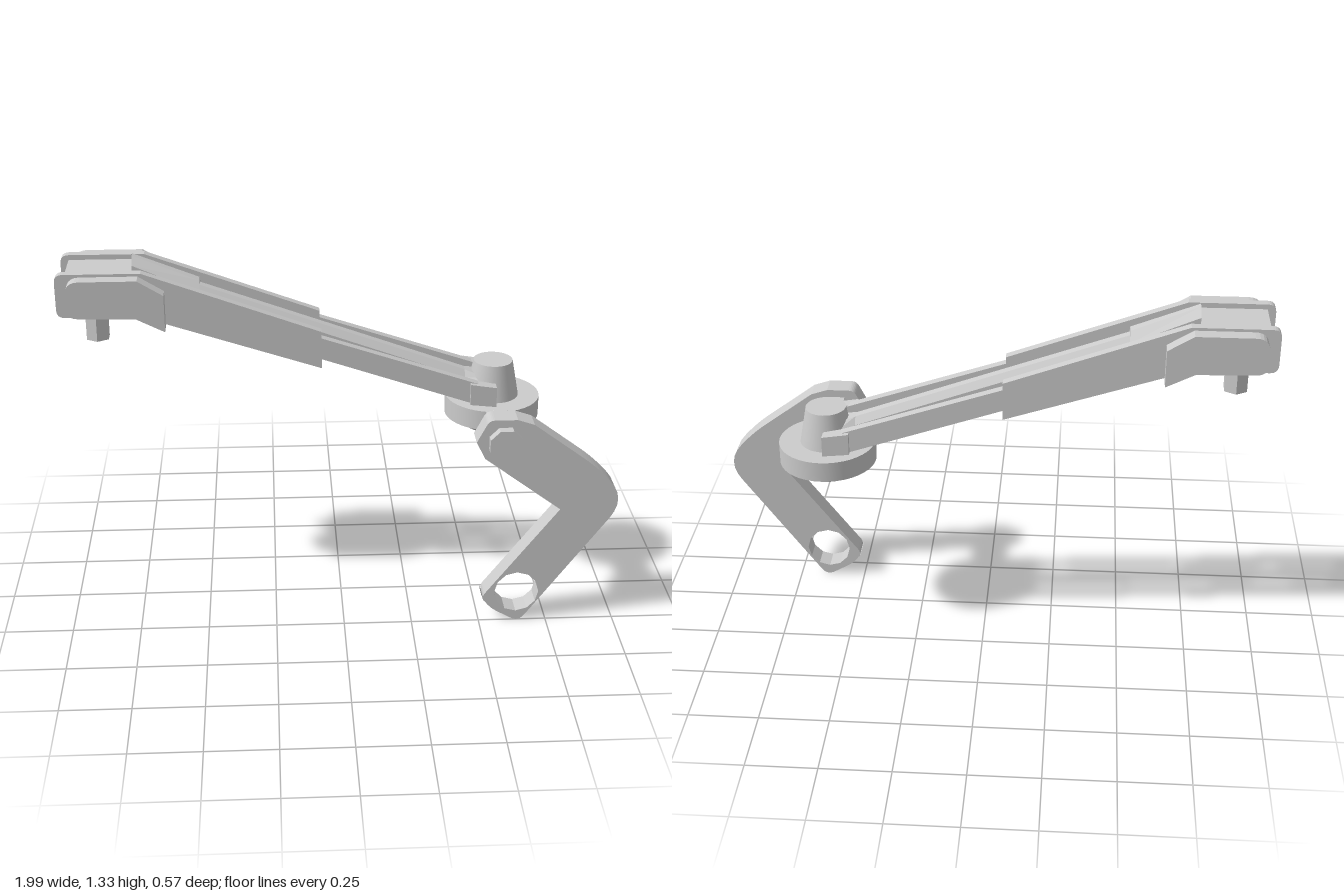
import * as THREE from 'three';

const ZC = -0.107; // centre plane of the arm
const material = new THREE.MeshStandardMaterial({ color: 0xcccccc, flatShading: true });
const smooth = new THREE.MeshStandardMaterial({ color: 0xcccccc });

function add(parent, name, geometry, x = 0, y = 0, z = 0, mat = material) {
  const mesh = new THREE.Mesh(geometry, mat);
  mesh.name = name;
  mesh.position.set(x, y, z);
  parent.add(mesh);
  return mesh;
}

// Closed outline from [x, y, cornerRadius] points
function outline(points) {
  const shape = new THREE.Shape();
  const n = points.length;
  points.forEach(([x, y, r = 0], i) => {
    const towards = ([px, py]) => {
      const k = r / Math.hypot(px - x, py - y);
      return [x + (px - x) * k, y + (py - y) * k];
    };
    const a = towards(points[(i + n - 1) % n]);
    const b = towards(points[(i + 1) % n]);
    if (i === 0) shape.moveTo(...a); else shape.lineTo(...a);
    if (r) shape.quadraticCurveTo(x, y, ...b);
  });
  shape.closePath();
  return shape;
}

function slab(shape, z0, z1) {
  const geometry = new THREE.ExtrudeGeometry(shape, { depth: z1 - z0, bevelEnabled: false, curveSegments: 6 });
  return geometry.translate(0, 0, z0);
}

// Faceted beam along x; each section is { x, points: [[y, z], ...] }
function loft(sections) {
  const rings = sections.map(s => s.points.map(([y, z]) => [s.x, y, z]));
  const pos = [];
  const n = rings[0].length;
  const tri = (...corners) => corners.forEach(c => pos.push(...c));
  for (let s = 0; s < rings.length - 1; s++) {
    for (let i = 0; i < n; i++) {
      const j = (i + 1) % n;
      const p = rings[s], q = rings[s + 1];
      tri(p[i], p[j], q[i]);
      tri(p[j], q[j], q[i]);
    }
  }
  const first = rings[0], last = rings[rings.length - 1];
  for (let i = 1; i < n - 1; i++) {
    tri(first[0], first[i + 1], first[i]);
    tri(last[0], last[i], last[i + 1]);
  }
  const geometry = new THREE.BufferGeometry();
  geometry.setAttribute('position', new THREE.Float32BufferAttribute(pos, 3));
  geometry.computeVertexNormals();
  return geometry;
}

// Six-sided section: narrow top, sloped shoulders, vertical sides
function section(x, top, shoulder, bottom, topHalf, half) {
  return { x, points: [[top, topHalf], [shoulder, half], [bottom, half], [bottom, -half], [shoulder, -half], [top, -topHalf]] };
}

export function createModel() {
  const model = new THREE.Group();
  model.name = 'jointedArm';

  // Paired side rails, grip pads and rail ends
  const rail = outline([
    [-1, 1.14, 0.03], [-0.71, 1.14], [-0.07, 0.93], [-0.07, 0.965], [0.49, 0.775], [0.565, 0.775],
    [0.565, 0.84], [0.5, 0.855], [-0.07, 1.045], [-0.07, 1.07], [-0.70, 1.30], [-1, 1.30, 0.03],
  ]);
  const pad = outline([
    [-0.96, 1.155, 0.04], [-0.72, 1.15], [-0.62, 1.10], [-0.62, 1.235], [-0.71, 1.29], [-0.96, 1.29, 0.05],
  ]);
  const railEnd = outline([[0.47, 0.78], [0.565, 0.77], [0.565, 0.845], [0.5, 0.855], [0.47, 0.86]]);
  for (const side of [1, -1]) {
    const place = (name, shape, near, far) => {
      const geometry = side > 0 ? slab(shape, near, far) : slab(shape, -far, -near);
      add(model, (side > 0 ? 'front' : 'back') + name, geometry, 0, 0, ZC);
    };
    place('Rail', rail, 0.087, 0.12);
    place('GripPad', pad, 0.09, 0.17);
    place('RailEnd', railEnd, 0.097, 0.137);
  }

  // Cross block between the rails, with a hexagonal pin below
  add(model, 'crossBlock', new THREE.BoxGeometry(0.24, 0.11, 0.18), -0.85, 1.227, ZC);
  add(model, 'hexPin', new THREE.CylinderGeometry(0.045, 0.045, 0.18, 6), -0.873, 1.107, ZC);

  // Central spine: wide head, collar and slender beam
  add(model, 'spineHead', loft([
    section(-0.735, 1.33, 1.305, 1.17, 0.012, 0.05),
    section(-0.50, 1.235, 1.205, 1.10, 0.018, 0.055),
  ]), 0, 0, ZC);
  add(model, 'spineCollar', loft([
    section(-0.74, 1.275, 1.25, 1.18, 0.06, 0.085),
    section(-0.67, 1.25, 1.23, 1.17, 0.035, 0.05),
  ]), 0, 0, ZC);
  add(model, 'spineBeam', loft([
    section(-0.52, 1.225, 1.20, 1.12, 0.016, 0.038),
    section(0.46, 0.87, 0.845, 0.79, 0.016, 0.038),
    section(0.53, 0.85, 0.83, 0.77, 0.045, 0.075),
  ]), 0, 0, ZC);

  // Pivot hub: tapered cap, flat disc and bevelled underside
  const hub = new THREE.Group();
  hub.name = 'pivotHub';
  hub.position.set(0.567, 0, -0.11);
  model.add(hub);
  add(hub, 'hubCap', new THREE.CylinderGeometry(0.072, 0.098, 0.14, 32), 0, 0.83, 0, smooth);
  add(hub, 'hubDisc', new THREE.CylinderGeometry(0.174, 0.174, 0.075, 40), 0, 0.7275, 0, smooth);
  add(hub, 'hubBase', new THREE.CylinderGeometry(0.139, 0.1, 0.045, 32), 0, 0.6685, 0, smooth);

  // Stem and bolt carrying the bent bracket
  add(model, 'stem', new THREE.BoxGeometry(0.085, 0.073, 0.12), 0.567, 0.7275, 0.05);
  const bolt = new THREE.CylinderGeometry(0.062, 0.062, 0.182, 8).rotateY(Math.PI / 8).rotateX(Math.PI / 2);
  add(model, 'bolt', bolt, 0.569, 0.734, 0.192);

  const bracket = outline([
    [0.525, 0.06, 0.05], [0.65, -0.012, 0.035], [1.02, 0.50, 0.1], [0.90, 0.63, 0.06], [0.67, 0.80],
    [0.61, 0.82], [0.51, 0.82, 0.02], [0.467, 0.735], [0.50, 0.67], [0.78, 0.46], [0.51, 0.10, 0.02],
  ]);
  const hole = new THREE.Path();
  hole.absellipse(0.637, 0.118, 0.082, 0.082, 0, Math.PI * 2, true);
  bracket.holes.push(hole);
  add(model, 'bentBracket', slab(bracket, 0.17, 0.25));

  return model;
}
